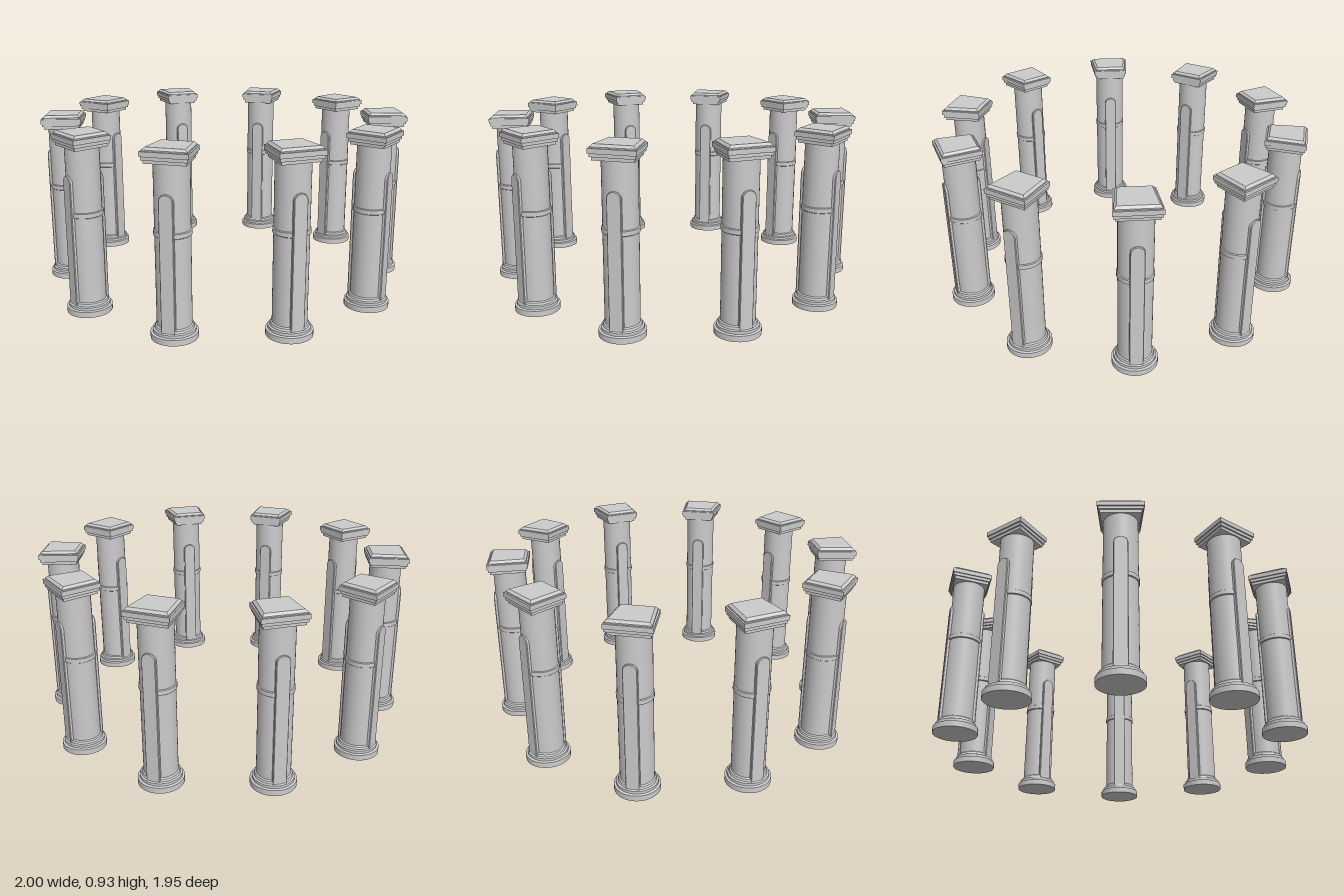
import * as THREE from 'three';
import { toCreasedNormals } from 'three/addons/utils/BufferGeometryUtils.js';

const COUNT = 10;
const RING = 0.885;
const material = new THREE.MeshStandardMaterial({ color: 0xcccccc });

// Turned part from [radius, height] pairs, with crisp steps
function turned(points) {
  const profile = points.map(([r, y]) => new THREE.Vector2(r, y));
  return toCreasedNormals(new THREE.LatheGeometry(profile, 40), 0.5);
}

// Wedge-shaped slab of the capital: wider on the outer (+z) side
function slab(y0, y1, inset, bevel = 0) {
  const i = inset + bevel;
  const shape = new THREE.Shape([
    new THREE.Vector2(-0.115 + i, -0.104 + i),
    new THREE.Vector2(0.115 - i, -0.104 + i),
    new THREE.Vector2(0.099 - i, 0.107 - i),
    new THREE.Vector2(-0.099 + i, 0.107 - i),
  ]);
  const geometry = new THREE.ExtrudeGeometry(shape, {
    depth: y1 - y0 - bevel * 2,
    bevelEnabled: bevel > 0,
    bevelSize: bevel,
    bevelThickness: bevel,
    bevelSegments: 1,
  });
  // shape y becomes -z, extrusion becomes +y
  geometry.rotateX(-Math.PI / 2);
  geometry.translate(0, y0 + bevel, 0);
  return geometry;
}

// Raised round-topped panel, from the column's core to just past the shaft
function archPanel() {
  const w = 0.032, bottom = 0.045, spring = 0.686;
  const shape = new THREE.Shape();
  shape.moveTo(-w, bottom);
  shape.lineTo(w, bottom);
  shape.lineTo(w, spring);
  shape.absarc(0, spring, w, 0, Math.PI, false);
  shape.closePath();
  const geometry = new THREE.ExtrudeGeometry(shape, {
    depth: 0.036,
    curveSegments: 16,
    bevelSize: 0.003,
    bevelThickness: 0.004,
    bevelSegments: 1,
  });
  geometry.translate(0, 0, 0.053);
  return geometry;
}

export function createModel() {
  const model = new THREE.Group();
  model.name = 'columnRing';

  const base = turned([
    [0, 0], [0.115, 0], [0.115, 0.03], [0.104, 0.034], [0.104, 0.048],
    [0.095, 0.052], [0.092, 0.064], [0.084, 0.07], [0, 0.07],
  ]);
  const shaft = turned([[0.085, 0.05], [0.085, 0.865]]);
  const band = turned([[0.084, 0.51], [0.09, 0.514], [0.09, 0.536], [0.084, 0.54]]);
  const panel = archPanel();
  const slabs = [
    slab(0.856, 0.872, 0.014),
    slab(0.872, 0.888, 0.006),
    slab(0.888, 0.912, 0),
    slab(0.9, 0.93, 0.008, 0.012),
  ];

  for (let k = 0; k < COUNT; k++) {
    const angle = Math.PI / 2 + (k / COUNT) * Math.PI * 2;
    const column = new THREE.Group();
    column.name = 'column' + (k + 1);
    const add = (name, geometry) => {
      const mesh = new THREE.Mesh(geometry, material);
      mesh.name = name;
      column.add(mesh);
      return mesh;
    };

    add('base', base);
    add('shaft', shaft);
    add('band', band);
    // Panels face out of and into the ring
    add('outerPanel', panel);
    add('innerPanel', panel).rotation.y = Math.PI;
    slabs.forEach((geometry, i) => add('capitalSlab' + (i + 1), geometry));

    column.position.set(Math.sin(angle) * RING, 0, Math.cos(angle) * RING);
    column.rotation.y = angle;
    model.add(column);
  }
  return model;
}
